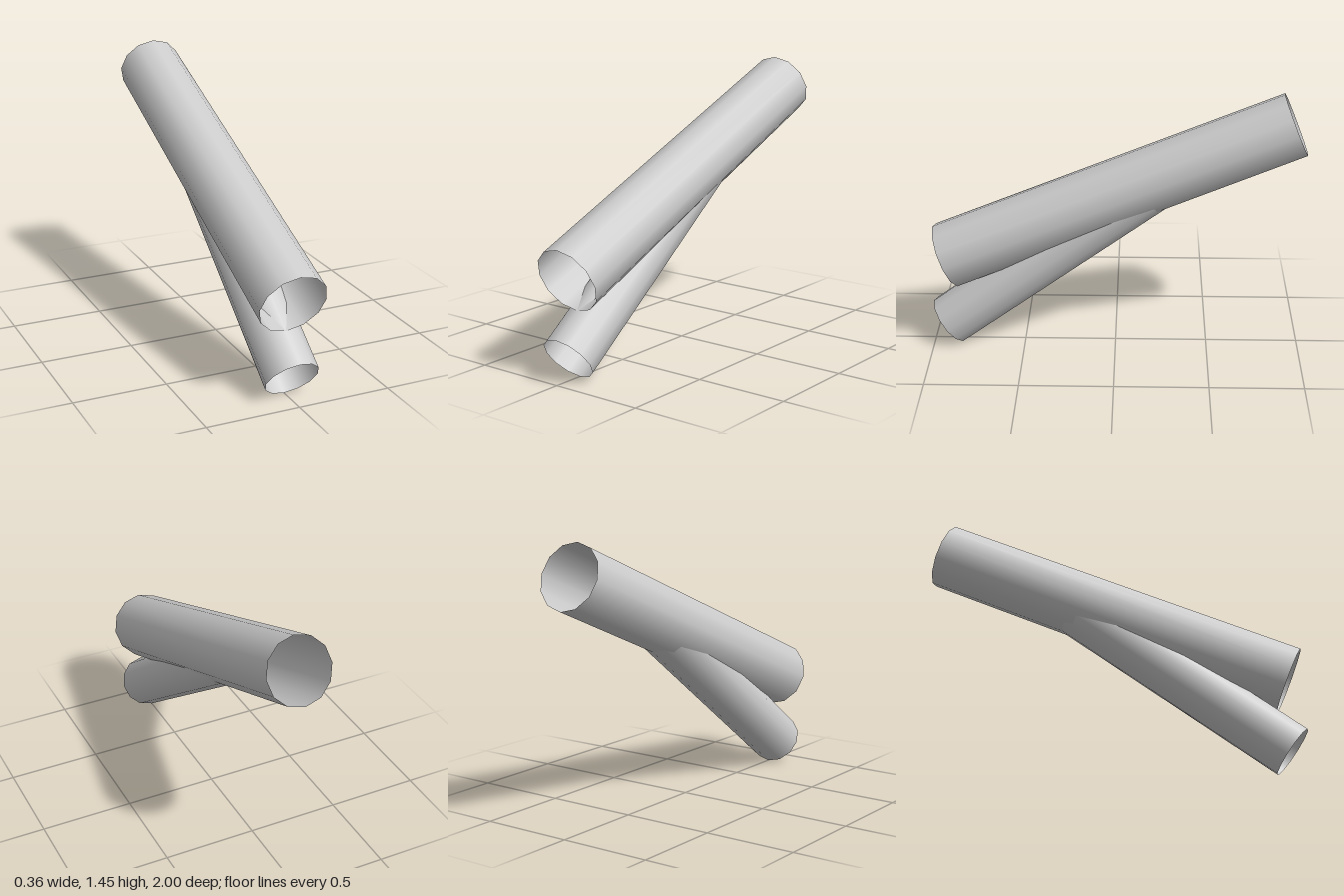
import * as THREE from 'three';

const SIDES = 12;

// Open tube between two points [y, z] on the centre plane, radius r0 to r1
function tube(name, [y0, z0], [y1, z1], r0, r1, material) {
  const length = Math.hypot(y1 - y0, z1 - z0);
  const mesh = new THREE.Mesh(
    new THREE.CylinderGeometry(r1, r0, length, SIDES, 1, true), material);
  mesh.name = name;
  mesh.position.set(0, (y0 + y1) / 2, (z0 + z1) / 2);
  mesh.rotation.x = Math.atan2(z1 - z0, y1 - y0);
  return mesh;
}

export function createModel() {
  const group = new THREE.Group();
  group.name = 'forkedTube';
  const grey = new THREE.MeshStandardMaterial({ color: 0xcccccc, side: THREE.DoubleSide });
  grey.name = 'light grey';

  // Wide tube, tapering slightly to the back
  group.add(tube('mainTube', [0.518, 0.915], [1.29, -0.935], 0.182, 0.174, grey));
  // Narrower lower tube running into the main tube up to its axis
  group.add(tube('branchTube', [0.12, 0.915], [1.036, -0.327], 0.143, 0.143, grey));
  return group;
}
